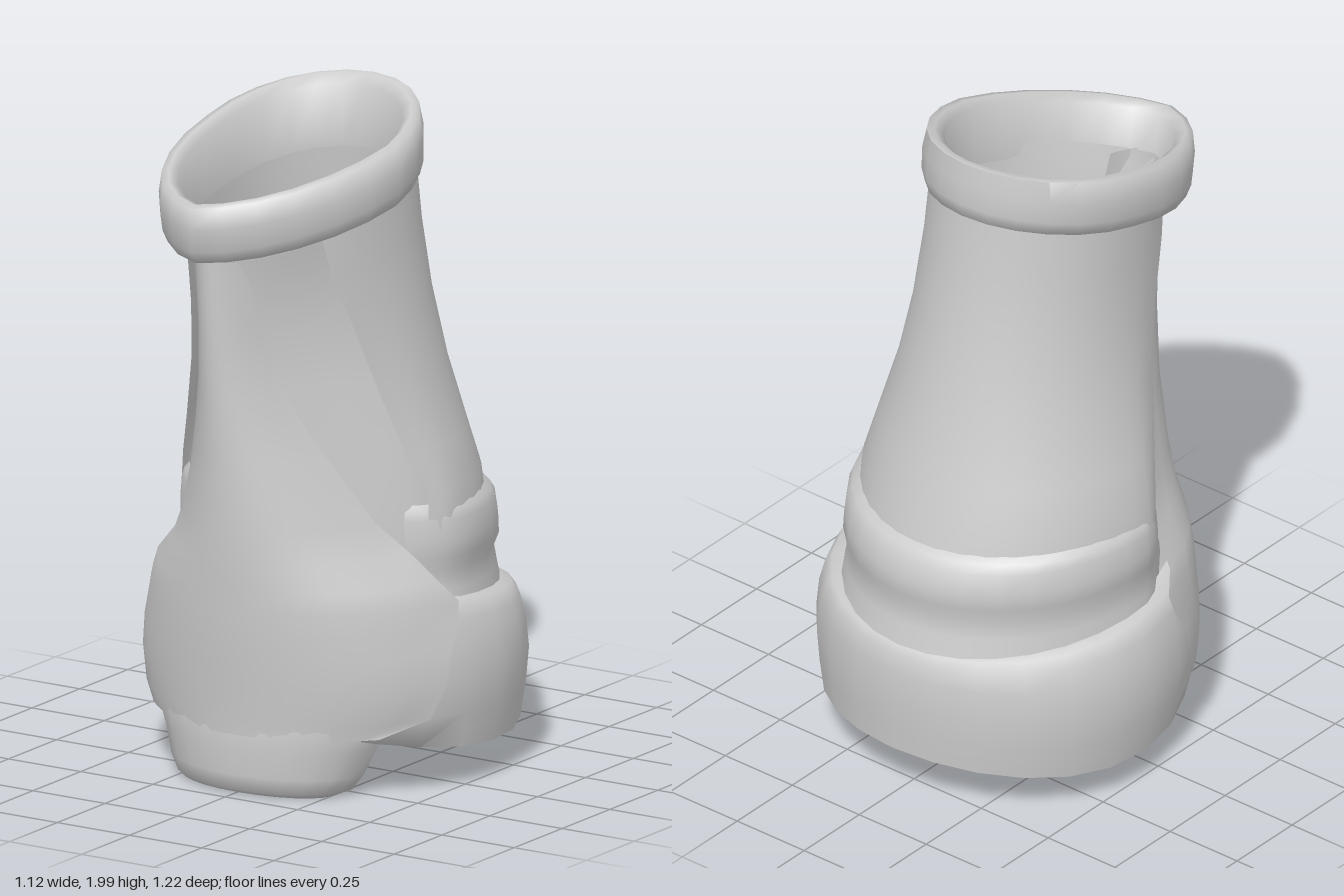
import * as THREE from 'three';
import { toCreasedNormals } from 'three/addons/utils/BufferGeometryUtils.js';

const SEG = 24;
const material = new THREE.MeshStandardMaterial({ color: 0xcccccc, side: THREE.DoubleSide });

// Skin a list of point rows (top to bottom) into a creased surface
function skin(name, rows, closed) {
  const n = rows[0].length, index = [];
  for (let i = 0; i < rows.length - 1; i++) {
    for (let j = 0; j < (closed ? n : n - 1); j++) {
      const k = (j + 1) % n, a = i * n, b = a + n;
      index.push(a + j, b + j, a + k, a + k, b + j, b + k);
    }
  }
  const geo = new THREE.BufferGeometry();
  geo.setAttribute('position', new THREE.Float32BufferAttribute(rows.flat(2), 3));
  geo.setIndex(index);
  const mesh = new THREE.Mesh(toCreasedNormals(geo, 1.3), material);
  mesh.name = name;
  return mesh;
}

// Egg-shaped ring: w half width, f / b front and back z, c z of the widest point,
// k roundness of the front (0 pointed, 1 round), skew sideways shift of the front tip,
// edge = z where an open ring starts
function ring({ y, slope = 0, curve = 0, w, f, b, c = 0, k = 1, skew = 0, edge }) {
  const open = edge !== undefined;
  const start = open ? Math.acos((edge - c) / (edge > c ? f - c : c - b)) : 0;
  const count = open ? SEG + 1 : SEG;
  return Array.from({ length: count }, (_, i) => {
    const t = start + (i / SEG) * (2 * Math.PI - 2 * start);
    const s = Math.sin(t), q = Math.cos(t);
    const z = q > 0 ? c + (f - c) * (k * q + (1 - k) * (1 - Math.abs(s))) : c - (c - b) * -q;
    return [w * s + skew * Math.max(0, q), y + slope * z + curve * z * z, z];
  });
}

const loft = (name, rings) => skin(name, rings.map(ring), rings[0].edge === undefined);

export function createModel() {
  const group = new THREE.Group();

  // Thick tilted cuff: inside wall, rim, outside wall, underside
  group.add(loft('topCuff', [
    [1.72, 0.27, 0.52, -0.23],
    [1.91, 0.275, 0.555, -0.225],
    [1.93, 0.30, 0.59, -0.255],
    [1.925, 0.325, 0.61, -0.275],
    [1.86, 0.34, 0.61, -0.285],
    [1.79, 0.338, 0.60, -0.29],
    [1.75, 0.325, 0.58, -0.285],
    [1.74, 0.29, 0.53, -0.26],
  ].map(([y, w, f, b]) => ({ y, w, f, b, c: 0.1, slope: -0.245, k: 0.86, skew: -0.05 }))));

  // Inner leg tube running down to the bottom opening
  group.add(loft('legTube', [
    [1.78, -0.24, 0.29, 0.53, -0.26, 0.08, 0.75, -0.05],
    [1.60, -0.15, 0.29, 0.52, -0.28, 0.06, 0.55, -0.05],
    [1.40, -0.08, 0.305, 0.51, -0.31, 0.04, 0.4, -0.04],
    [1.20, 0, 0.34, 0.50, -0.36, 0.02, 0.4, -0.03],
    [1.00, 0, 0.39, 0.49, -0.42, 0, 0.4, -0.01],
    [0.80, 0, 0.43, 0.47, -0.47, 0, 0.4, 0],
    [0.55, 0, 0.45, 0.43, -0.50, -0.05, 0.7, 0],
    [0.30, 0, 0.43, 0.34, -0.48, -0.08, 1, 0],
    [0.16, 0, 0.41, 0.30, -0.45, -0.08, 1, 0],
  ].map(([y, slope, w, f, b, c, k, skew]) => ({ y, slope, w, f, b, c, k, skew }))));

  // Calf shell wrapping the back, its front edges sweeping backwards
  group.add(loft('calfShell', [
    [1.76, -0.24, 0.305, 0.50, -0.275, 0.08, 0.35],
    [1.60, -0.15, 0.31, 0.50, -0.295, 0.06, 0.32],
    [1.40, -0.08, 0.33, 0.45, -0.33, 0.04, 0.25],
    [1.20, 0, 0.365, 0.38, -0.385, 0.02, 0.19],
    [1.00, 0, 0.42, 0.30, -0.44, 0, 0.13],
    [0.88, 0, 0.455, 0.22, -0.48, 0, 0.08],
    [0.76, 0, 0.465, 0.20, -0.51, 0, 0.08],
  ].map(([y, slope, w, f, b, c, edge]) => ({ y, slope, w, f, b, c, edge }))));

  // Ankle band: a raised roll with a groove beneath it, its ends diving into the leg
  group.add(loft('ankleBand', [
    [0.835, 0.445, -0.48],
    [0.815, 0.465, -0.52],
    [0.79, 0.474, -0.543],
    [0.73, 0.48, -0.556],
    [0.68, 0.48, -0.562],
    [0.64, 0.465, -0.545],
    [0.58, 0.472, -0.56],
    [0.50, 0.485, -0.58],
  ].map(([y, w, b]) => ({ y, w, b, edge: 0.18, c: -0.04, f: 0.24, slope: 0.03 }))));

  // Heavy lower band with a turned-in bottom lip
  group.add(loft('lowerBand', [
    [0.56, 0.1, 0, 0.45, 0.46, -0.53],
    [0.555, 0.1, 0, 0.505, 0.485, -0.58],
    [0.50, 0.04, 0, 0.53, 0.49, -0.595],
    [0.42, 0, 0, 0.55, 0.483, -0.605],
    [0.33, 0, 0, 0.56, 0.475, -0.61],
    [0.23, 0, 0, 0.55, 0.465, -0.605],
    [0.12, 0.09, 0.25, 0.53, 0.44, -0.60],
    [0.12, 0.09, 0.25, 0.49, 0.38, -0.55],
    [0.155, 0, 0.05, 0.41, 0.30, -0.45],
  ].map(([y, slope, curve, w, f, b]) => ({ y, slope, curve, w, f, b, c: -0.1 }))));

  // Shin guard: narrow ridge flaring out and flowing over the front of the lower band
  const guard = [
    [1.66, 0.09, 0.54, 0.44, -0.05],
    [1.40, 0.11, 0.525, 0.39, -0.04],
    [1.20, 0.14, 0.515, 0.36, -0.03],
    [1.00, 0.22, 0.51, 0.29, -0.01],
    [0.80, 0.32, 0.508, 0.20, 0],
    [0.70, 0.39, 0.505, 0.12, 0],
    [0.62, 0.47, 0.50, 0.09, 0],
    [0.56, 0.505, 0.497, 0.043, 0],
    [0.50, 0.515, 0.494, 0.057, 0],
    [0.42, 0.52, 0.487, 0.102, 0],
    [0.33, 0.52, 0.479, 0.124, 0],
    [0.23, 0.49, 0.469, 0.166, 0],
    [0.18, 0.39, 0.466, 0.285, 0],
  ].map(([y, half, mid, edge, shift]) => Array.from({ length: 21 }, (_, i) => {
    const u = i / 10 - 1, e = (edge + 0.1) / (mid + 0.1);
    return [half * u + shift, y, (mid + 0.1) * Math.sqrt(1 - u * u * (1 - e * e)) - 0.1];
  }));
  group.add(skin('shinGuard', guard, false));

  // Tongue hanging below the band at the front, hollowed behind
  group.add(loft('frontTongue', [
    [0.25, 0.36, 0.455, 0.35, 0.26],
    [0.19, 0.372, 0.466, 0.315, 0.23],
    [0.14, 0.35, 0.467, 0.30, 0.235],
    [0.06, 0.32, 0.465, 0.30, 0.26],
    [0.015, 0.29, 0.46, 0.305, 0.275],
    [0.0, 0.25, 0.435, 0.33, 0.32],
    [0.02, 0.02, 0.385, 0.37, 0.375],
  ].map(([y, w, f, b, c]) => ({ y, w, f, b, c }))));

  return group;
}
